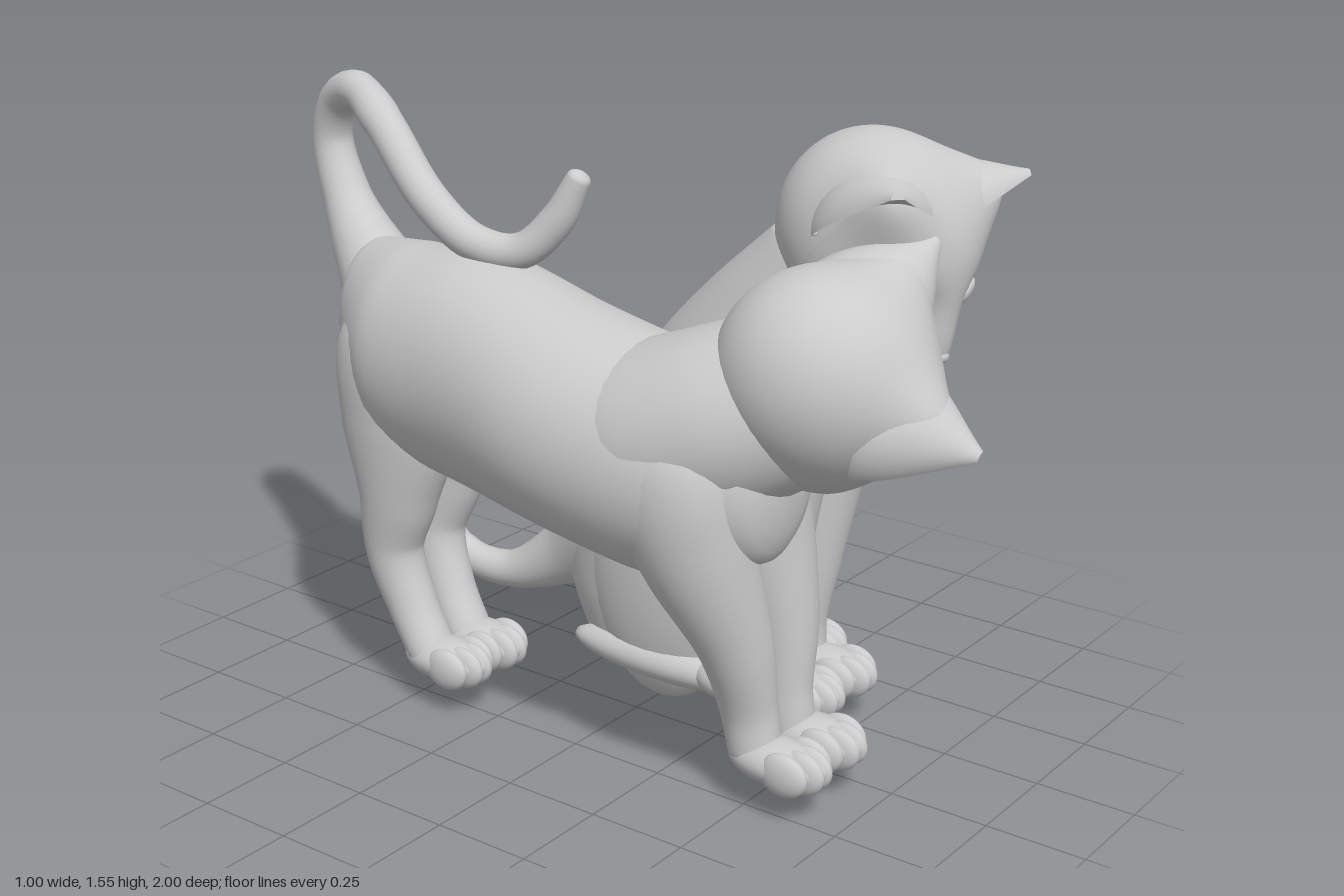
import * as THREE from 'three';

const mat = new THREE.MeshStandardMaterial({ color: 0xcccccc });
const V = (x, y, z) => new THREE.Vector3(x, y, z);

function add(parent, name, geometry) {
  const mesh = new THREE.Mesh(geometry, mat);
  mesh.name = name;
  parent.add(mesh);
  return mesh;
}

function blob(parent, name, [x, y, z], [rx, ry, rz]) {
  const mesh = add(parent, name, new THREE.SphereGeometry(1, 24, 18));
  mesh.position.set(x, y, z);
  mesh.scale.set(rx, ry, rz);
  return mesh;
}

// Smooth skin through stations [x, y, z, sideRadius, depthRadius], domed at both ends.
// With an axis every ring is square to it, otherwise rings follow the path.
function loft(stations, { axis = null, dome = 0.6, sides = 32, steps = 7 } = {}) {
  const path = new THREE.CatmullRomCurve3(stations.map(s => V(s[0], s[1], s[2])));
  const radii = new THREE.CatmullRomCurve3(stations.map(s => V(s[3], s[4] ?? s[3], 0)));
  const n = (stations.length - 1) * steps, caps = 5;
  const rings = [];
  const ring = (u, k, sign) => {
    const t = axis ? axis.clone() : path.getTangent(u);
    const r = radii.getPoint(u);
    const a = (k / caps) * Math.PI / 2 * 0.995;
    const c = path.getPoint(u).addScaledVector(t, sign * Math.sin(a) * dome * Math.min(r.x, r.y));
    rings.push({ c, t, rx: r.x * Math.cos(a), ry: r.y * Math.cos(a) });
  };
  for (let k = caps; k > 0; k--) ring(0, k, -1);
  for (let i = 0; i <= n; i++) ring(i / n, 0, 0);
  for (let k = 1; k <= caps; k++) ring(1, k, 1);

  const pos = [], index = [];
  const side = V(1, 0, 0);
  rings.forEach(({ c, t, rx, ry }, i) => {
    side.addScaledVector(t, -side.dot(t)).normalize();
    const other = t.clone().cross(side);
    for (let j = 0; j < sides; j++) {
      const a = (j / sides) * Math.PI * 2;
      const p = c.clone().addScaledVector(side, Math.cos(a) * rx).addScaledVector(other, Math.sin(a) * ry);
      pos.push(p.x, p.y, p.z);
      if (i === 0) continue;
      const k = (j + 1) % sides, lo = (i - 1) * sides, hi = i * sides;
      index.push(lo + j, lo + k, hi + k, lo + j, hi + k, hi + j);
    }
  });
  const g = new THREE.BufferGeometry();
  g.setAttribute('position', new THREE.Float32BufferAttribute(pos, 3));
  g.setIndex(index);
  g.computeVertexNormals();
  return g;
}

// Flat-soled paw with four shallow toes, pointing to +z
function paw(parent, name, x, z, length = 0.13) {
  const g = new THREE.Group();
  g.name = name;
  blob(g, 'pawPad', [0, 0.058, 0], [0.074, 0.054, length]);
  for (let i = 0; i < 4; i++) {
    const o = i - 1.5;
    blob(g, 'toe', [o * 0.034, 0.056, length - 0.055 - o * o * 0.012], [0.027, 0.053, 0.064]);
  }
  g.position.set(x, 0.008, z);
  parent.add(g);
}

// Sphere pushed out at muzzle, cheeks and ear roots, pressed in at the eyes
function skullGeometry() {
  const g = new THREE.SphereGeometry(1, 64, 48);
  const p = g.attributes.position;
  // [direction, push, sharpness]
  const bumps = [[V(0, -0.22, 1), 0.085, 13], [V(0, -0.5, 0.9), 0.025, 20]];
  for (const s of [-1, 1]) {
    bumps.push([V(s * 0.68, 0.72, 0.1), 0.075, 14]);
    bumps.push([V(s * 0.7, -0.35, 0.5), 0.015, 10]);
    bumps.push([V(s * 0.42, 0.2, 0.9), -0.018, 50]);
  }
  bumps.forEach(b => b[0].normalize());
  for (let i = 0; i < p.count; i++) {
    const d = V().fromBufferAttribute(p, i).normalize();
    const v = d.clone().multiply(V(0.232, 0.235, 0.255));
    if (d.z > 0) v.x *= 1 - 0.16 * d.z * d.z;
    for (const [dir, push, sharp] of bumps) {
      v.addScaledVector(dir, push * Math.exp(-(1 - d.dot(dir)) * sharp));
    }
    p.setXYZ(i, v.x, v.y, v.z);
  }
  g.computeVertexNormals();
  return g;
}

// Blunt cone with bowed sides and a hollow front
function earGeometry() {
  const g = new THREE.CylinderGeometry(0.1, 1, 1, 32, 12);
  g.translate(0, 0.5, 0);
  const p = g.attributes.position;
  for (let i = 0; i < p.count; i++) {
    const y = p.getY(i), bow = 1 + 0.7 * y * (1 - y);
    const z = p.getZ(i);
    p.setXYZ(i, p.getX(i) * 0.15 * bow, y * 0.215, (z > 0 ? -z * 0.25 : z) * 0.14 * bow + 0.05 * (1 - y));
  }
  g.computeVertexNormals();
  return g;
}

function head(parent, center, facing, leftHint, size) {
  const g = new THREE.Group();
  g.name = 'head';
  add(g, 'skull', skullGeometry());
  for (const s of [-1, 1]) {
    const ear = add(g, s > 0 ? 'leftEar' : 'rightEar', earGeometry());
    ear.position.set(s * 0.12, 0.11, 0);
    ear.rotation.set(0.3, s * 0.45, -s * 0.7, 'ZXY');
    const eye = blob(g, 'eye', [s * 0.094, 0.045, 0.21], [0.05, 0.028, 0.02]);
    eye.rotation.set(-0.1, s * 0.45, s * 0.2);
    blob(g, 'whiskerPad', [s * 0.022, -0.075, 0.29], [0.036, 0.034, 0.036]);
  }
  blob(g, 'nose', [0, -0.04, 0.322], [0.024, 0.016, 0.014]);
  const f = facing.clone().normalize();
  const up = f.clone().cross(leftHint).normalize();
  const left = up.clone().cross(f);
  g.quaternion.setFromRotationMatrix(new THREE.Matrix4().makeBasis(left, up, f));
  g.position.copy(center);
  g.scale.setScalar(size);
  parent.add(g);
}

function sittingCat() {
  const cat = new THREE.Group();
  cat.name = 'sittingCat';
  // Upright body narrowing into the neck
  add(cat, 'body', loft([
    [0.21, 0.03, -0.03, 0.17, 0.24], [0.21, 0.2, -0.06, 0.185, 0.28], [0.215, 0.45, -0.02, 0.2, 0.305],
    [0.225, 0.7, 0.13, 0.215, 0.33], [0.228, 0.9, 0.23, 0.218, 0.285], [0.235, 1.05, 0.32, 0.2, 0.235],
    [0.24, 1.2, 0.43, 0.17, 0.18],
  ], { axis: V(0, 1, 0), dome: 0.15, sides: 48 }));
  for (const s of [-1, 1]) {
    const side = s > 0 ? 'left' : 'right';
    // Front leg, starting inside the shoulder
    add(cat, side + 'FrontLeg', loft([
      [0.228 + s * 0.06, 1.02, 0.33, 0.07, 0.11], [0.225 + s * 0.095, 0.85, 0.325, 0.122, 0.17],
      [0.215 + s * 0.098, 0.6, 0.325, 0.108, 0.13], [0.205 + s * 0.085, 0.37, 0.325, 0.084, 0.085],
      [0.2 + s * 0.075, 0.18, 0.31, 0.064, 0.068], [0.2 + s * 0.075, 0.08, 0.32, 0.06, 0.06],
    ]));
    paw(cat, side + 'FrontPaw', 0.195 + s * 0.075, 0.395);
    // Folded hind leg
    blob(cat, side + 'Haunch', [0.21 + s * 0.105, 0.3, 0.01], [0.105, 0.36, 0.235]);
    blob(cat, side + 'HindFoot', [0.21 + s * 0.14, 0.06, 0.03], [0.068, 0.054, 0.28]);
    paw(cat, side + 'HindPaw', 0.215 + s * 0.15, 0.26, 0.12);
  }
  add(cat, 'tail', loft([
    [0.2, 0.34, -0.2, 0.15], [0.18, 0.22, -0.36, 0.09], [0.14, 0.14, -0.53, 0.05], [0.12, 0.17, -0.68, 0.043],
    [0.11, 0.34, -0.742, 0.043], [0.1, 0.5, -0.68, 0.043], [0.08, 0.575, -0.52, 0.042],
    [0.08, 0.61, -0.34, 0.04], [0.13, 0.66, -0.25, 0.04], [0.22, 0.68, -0.265, 0.038], [0.275, 0.67, -0.36, 0.028],
  ], { sides: 20 }));
  head(cat, V(0.243, 1.21, 0.515), V(-0.12, -0.7, 0.7), V(1, -0.04, 0.1), 1);
  return cat;
}

function standingCat() {
  const cat = new THREE.Group();
  cat.name = 'standingCat';
  // Long body from rump to chest
  add(cat, 'body', loft([
    [-0.085, 0.95, -0.82, 0.05, 0.07], [-0.11, 0.89, -0.73, 0.155, 0.19], [-0.165, 0.84, -0.55, 0.23, 0.265],
    [-0.19, 0.83, -0.3, 0.255, 0.29], [-0.235, 0.79, 0, 0.265, 0.275], [-0.24, 0.75, 0.25, 0.255, 0.27],
    [-0.235, 0.73, 0.43, 0.235, 0.25], [-0.225, 0.74, 0.53, 0.16, 0.19],
  ], { axis: V(0, 0, 1), dome: 0.4, sides: 48 }));
  add(cat, 'neck', loft([
    [-0.25, 0.76, 0.08, 0.2, 0.2], [-0.245, 0.81, 0.27, 0.235, 0.22], [-0.22, 0.87, 0.42, 0.225, 0.215],
    [-0.17, 0.93, 0.55, 0.2, 0.2], [-0.13, 0.98, 0.64, 0.18, 0.18],
  ]));
  for (const s of [-1, 1]) {
    const side = s > 0 ? 'left' : 'right';
    // Front leg, starting inside the shoulder
    add(cat, side + 'FrontLeg', loft([
      [-0.24 + s * 0.07, 0.9, 0.32, 0.08, 0.1], [-0.235 + s * 0.115, 0.76, 0.36, 0.13, 0.17],
      [-0.205 + s * 0.118, 0.58, 0.41, 0.128, 0.14], [-0.165 + s * 0.095, 0.35, 0.475, 0.09, 0.09],
      [-0.153 + s * 0.073, 0.17, 0.495, 0.062, 0.07], [-0.15 + s * 0.073, 0.08, 0.51, 0.06, 0.065],
    ]));
    paw(cat, side + 'FrontPaw', -0.148 + s * 0.076, 0.575);
    // Hind leg with thigh, hock and foot
    add(cat, side + 'HindLeg', loft([
      [-0.16 + s * 0.06, 0.98, -0.5, 0.08, 0.1], [-0.165 + s * 0.095, 0.84, -0.54, 0.115, 0.17],
      [-0.17 + s * 0.095, 0.66, -0.535, 0.11, 0.165], [-0.18 + s * 0.09, 0.48, -0.545, 0.088, 0.11],
      [-0.19 + s * 0.08, 0.33, -0.565, 0.07, 0.077], [-0.195 + s * 0.072, 0.18, -0.51, 0.063, 0.064],
      [-0.2 + s * 0.07, 0.08, -0.45, 0.064, 0.058],
    ]));
    paw(cat, side + 'HindPaw', -0.2 + s * 0.068, -0.4, 0.125);
  }
  add(cat, 'tail', loft([
    [-0.11, 0.88, -0.64, 0.15], [-0.085, 1.0, -0.77, 0.1], [-0.05, 1.15, -0.895, 0.063], [-0.04, 1.3, -0.948, 0.052],
    [-0.055, 1.405, -0.9, 0.05], [-0.09, 1.44, -0.8, 0.049], [-0.14, 1.38, -0.67, 0.049],
    [-0.195, 1.23, -0.48, 0.048], [-0.2, 1.145, -0.33, 0.046], [-0.175, 1.14, -0.21, 0.044],
    [-0.145, 1.22, -0.125, 0.042], [-0.13, 1.325, -0.07, 0.03],
  ], { sides: 20 }));
  head(cat, V(-0.133, 0.98, 0.62), V(0.82, -0.57, 0), V(0.4, 0.74, -0.5), 1.06);
  return cat;
}

export function createModel() {
  const model = new THREE.Group();
  model.name = 'catPair';
  model.add(sittingCat(), standingCat());
  return model;
}
